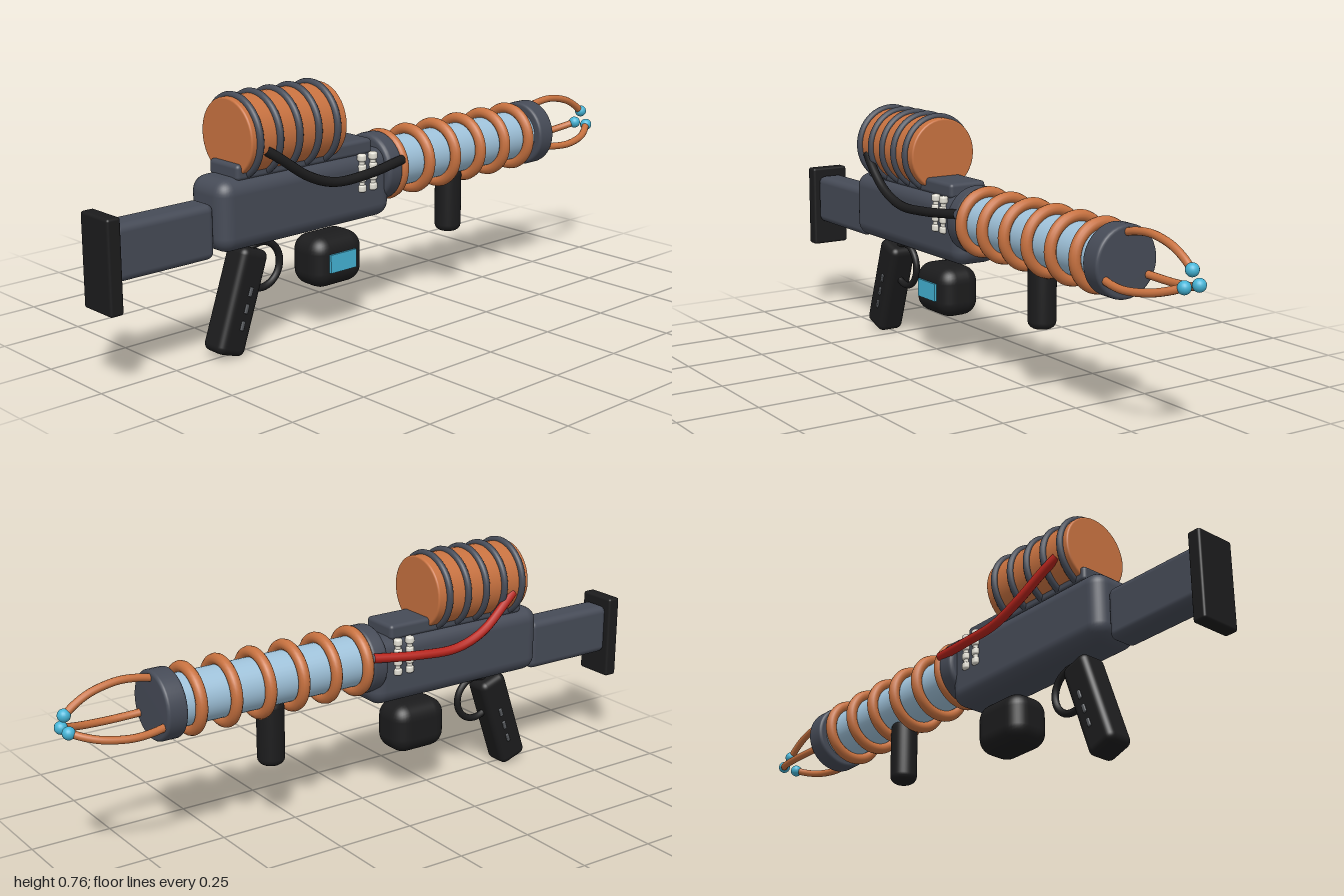
import * as THREE from 'three';
import { RoundedBoxGeometry } from 'three/addons/geometries/RoundedBoxGeometry.js';

const mat = (name, color, extra = {}) => {
  const m = new THREE.MeshStandardMaterial({ color, ...extra });
  m.name = name;
  return m;
};

export function createModel() {
  const group = new THREE.Group();
  const slate = mat('slate metal', 0x464b57);
  const black = mat('black rubber', 0x1c1c1d);
  const copper = mat('copper', 0xc87240);
  const glass = mat('pale blue glass', 0x9fc2da);
  const cyan = mat('glowing cyan', 0x45b4d6);
  const red = mat('red cable', 0xb8241c);
  const ceramic = mat('ceramic', 0xe2dfd4);
  const stud = mat('grip stud', 0x55585c);

  const add = (name, geo, material, x = 0, y = 0, z = 0, parent = group) => {
    const mesh = new THREE.Mesh(geo, material);
    mesh.name = name;
    mesh.position.set(x, y, z);
    parent.add(mesh);
    return mesh;
  };
  // Rounded box from its x, y extents and half depth
  const box = (name, material, x0, x1, y0, y1, hz, r) =>
    add(name, new RoundedBoxGeometry(x1 - x0, y1 - y0, hz * 2, 4, r), material, (x0 + x1) / 2, (y0 + y1) / 2, 0);
  // Upright cylinder with rounded rims, centred on its own origin
  const drum = (radius, length, bevel, sides = 40) => {
    const h = length / 2, pts = [[0, -h]], n = 4;
    for (let i = 0; i <= n; i++) {
      const a = (i / n) * Math.PI / 2;
      pts.push([radius - bevel + bevel * Math.sin(a), -h + bevel - bevel * Math.cos(a)]);
    }
    for (let i = 0; i <= n; i++) {
      const a = (i / n) * Math.PI / 2;
      pts.push([radius - bevel + bevel * Math.cos(a), h - bevel + bevel * Math.sin(a)]);
    }
    pts.push([0, h]);
    return new THREE.LatheGeometry(pts.map(p => new THREE.Vector2(...p)), sides);
  };
  const xDrum = (name, material, x0, x1, y, r, bevel) =>
    add(name, drum(r, x1 - x0, bevel).rotateZ(-Math.PI / 2), material, (x0 + x1) / 2, y, 0);
  const xRing = (name, material, x, y, r, tube) =>
    add(name, new THREE.TorusGeometry(r, tube, 12, 48).rotateY(Math.PI / 2), material, x, y, 0);
  const tube = (name, material, pts, r) =>
    add(name, new THREE.TubeGeometry(new THREE.CatmullRomCurve3(pts.map(p => new THREE.Vector3(...p))), 40, r, 12), material);

  // Stock and receiver
  box('buttPlate', black, -1, -0.957, 0.235, 0.505, 0.064, 0.008);
  box('stock', slate, -0.965, -0.635, 0.317, 0.477, 0.046, 0.022);
  box('receiver', slate, -0.637, 0.01, 0.33, 0.54, 0.081, 0.045);
  box('topRail', slate, -0.57, -0.06, 0.53, 0.577, 0.064, 0.012);

  // Wound canister on top
  xDrum('canister', copper, -0.555, -0.203, 0.645, 0.113, 0.006);
  for (let i = 0; i < 5; i++) xRing('canisterBand', slate, -0.527 + i * 0.071, 0.645, 0.115, 0.011);

  // Barrel with copper coils
  const axisY = 0.47;
  xDrum('rearCollar', slate, -0.027, 0.033, axisY, 0.105, 0.014);
  xDrum('barrel', glass, 0, 0.68, axisY, 0.078, 0.004);
  for (let i = 0; i < 6; i++) xRing('barrelCoil', copper, 0.042 + i * 0.1132, axisY, 0.092, 0.0175);
  xDrum('muzzleCollar', slate, 0.655, 0.72, axisY, 0.104, 0.01);

  // Three curved prongs with glowing tips
  for (let i = 0; i < 3; i++) {
    const a = Math.PI / 2 + i * Math.PI * 2 / 3;
    const at = (x, r) => [x, axisY + r * Math.sin(a), r * Math.cos(a)];
    tube('prong', copper, [at(0.7, 0.08), at(0.76, 0.092), at(0.82, 0.095), at(0.9, 0.078), at(0.95, 0.052), at(0.98, 0.028)], 0.0115);
    add('prongTip', new THREE.SphereGeometry(0.019, 20, 14), cyan, ...at(0.981, 0.029));
  }

  // Side cables and ceramic insulators
  for (const s of [1, -1]) {
    const bulge = s > 0 ? 0.123 : 0.13;
    tube(s > 0 ? 'blackCable' : 'redCable', s > 0 ? black : red, [
      [-0.5, 0.617, s * 0.103], [-0.46, 0.59, s * 0.113], [-0.36, 0.522, s * bulge],
      [-0.26, 0.488, s * bulge], [-0.12, 0.489, s * 0.119], [0.03, 0.502, s * 0.098]], 0.0145);
    for (const x of [-0.118, -0.074]) {
      add('insulatorCore', new THREE.CylinderGeometry(0.009, 0.009, 0.11, 16), ceramic, x, 0.483, s * 0.081);
      for (let i = 0; i < 4; i++)
        add('insulatorDisc', drum(0.014, 0.022, 0.006, 18), ceramic, x, 0.436 + i * 0.031, s * 0.081);
    }
  }

  // Slanted pistol grip with studs on both sides
  const grip = new THREE.Group();
  grip.name = 'pistolGrip';
  grip.position.set(-0.535, 0.165, 0);
  grip.rotation.z = -0.33;
  group.add(grip);
  add('gripBody', new RoundedBoxGeometry(0.098, 0.315, 0.09, 4, 0.022), black, 0, 0, 0, grip);
  for (const s of [1, -1]) for (let i = 0; i < 3; i++)
    add('gripStud', new RoundedBoxGeometry(0.012, 0.028, 0.012, 2, 0.003), stud, 0.008, 0.035 - i * 0.05, s * 0.044, grip);
  add('triggerGuard', new THREE.TorusGeometry(0.069, 0.011, 12, 40), black, -0.44, 0.25, 0);

  // Hanging gauge pod with a screen on the left-hand face
  box('gaugePod', black, -0.281, -0.089, 0.143, 0.301, 0.07, 0.05);
  add('gaugeScreen', new THREE.BoxGeometry(0.1, 0.056, 0.009), cyan, -0.187, 0.224, 0.072);

  // Forward hand grip
  add('foreGrip', drum(0.042, 0.205, 0.022), black, 0.331, 0.307, 0);

  return group;
}
